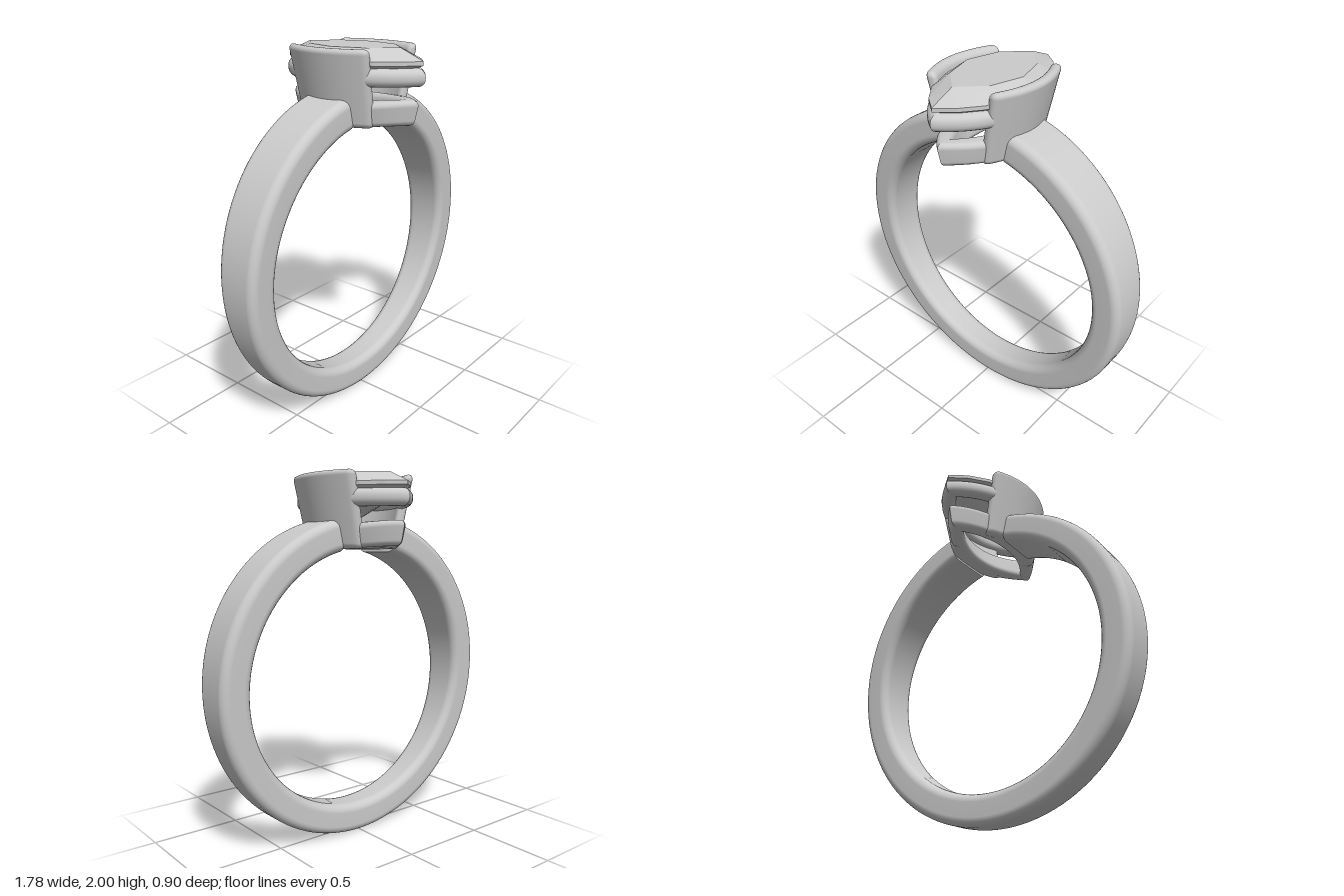
import * as THREE from 'three';
import { ConvexGeometry } from 'three/addons/geometries/ConvexGeometry.js';

// Rounded rectangle as a closed loop of [u, v] points.
function section(hw, hh, r, steps = 6) {
  const pts = [];
  [[1, 1], [-1, 1], [-1, -1], [1, -1]].forEach(([sx, sy], q) => {
    for (let i = 0; i <= steps; i++) {
      const a = (q + i / steps) * Math.PI / 2;
      pts.push([sx * (hw - r) + r * Math.cos(a), sy * (hh - r) + r * Math.sin(a)]);
    }
  });
  return pts;
}

// Skin a list of closed loops, cap both ends and face everything outwards.
function loft(loops) {
  const m = loops[0].length, n = loops.length;
  const pts = loops.flat(), idx = [];
  for (let i = 0; i < n - 1; i++) {
    for (let j = 0; j < m; j++) {
      const a = i * m + j, b = i * m + (j + 1) % m;
      idx.push(a, b, b + m, a, b + m, a + m);
    }
  }
  const first = pts.length, last = first + m;
  pts.push(...loops[0], ...loops[n - 1]);
  for (let j = 1; j < m - 1; j++) {
    idx.push(first, first + j + 1, first + j, last, last + j, last + j + 1);
  }
  let volume = 0;
  const cross = new THREE.Vector3();
  for (let i = 0; i < idx.length; i += 3) {
    volume += cross.crossVectors(pts[idx[i]], pts[idx[i + 1]]).dot(pts[idx[i + 2]]);
  }
  if (volume < 0) idx.reverse();
  const geo = new THREE.BufferGeometry().setFromPoints(pts);
  geo.setIndex(idx);
  geo.computeVertexNormals();
  return geo;
}

// x of a pointed-oval outline with half length L and half width s, at z = L * t.
function lensX(L, s, t) {
  const R = (L * L + s * s) / (2 * s);
  return Math.sqrt(R * R - L * L * t * t) - (R - s);
}

export function createModel() {
  const model = new THREE.Group();
  const metal = new THREE.MeshStandardMaterial({ color: 0xcccccc });
  const facet = new THREE.MeshStandardMaterial({ color: 0xcccccc, flatShading: true });
  const add = (name, geo, mat = metal) => {
    const mesh = new THREE.Mesh(geo, mat);
    mesh.name = name;
    model.add(mesh);
  };

  // Band: open at the top, widening from the bottom to the setting
  const cy = 0.89, gap = 0.24, bandLoops = [];
  for (let i = 0; i <= 120; i++) {
    const a = gap + (2 * Math.PI - 2 * gap) * i / 120;
    const halfWidth = 0.12 + 0.03 * Math.cos(a);
    bandLoops.push(section(0.084, halfWidth, 0.045).map(([u, v]) => {
      const r = 0.806 + u;
      return new THREE.Vector3(r * Math.sin(a), cy + r * Math.cos(a), v);
    }));
  }
  add('band', loft(bandLoops));

  // Curved, leaning walls holding the stone on both sides
  for (const side of [1, -1]) {
    const loops = [], Z = 0.25, round = 0.025;
    for (let i = 0; i <= 32; i++) {
      const z = Z * Math.sin((i / 32 - 0.5) * Math.PI);
      const q = Math.max(0, (Math.abs(z) - Z + round) / round);
      const inset = round * 0.9 * (1 - Math.sqrt(Math.max(0, 1 - q * q)));
      const tilt = Math.atan(2.1 * z);
      loops.push(section(0.031 - inset, 0.197 - inset, 0.028 - inset).map(([u, v]) => {
        const y = 1.803 + v, drop = 2 - y;
        const x = 0.26 - 1.1 * z * z - 0.21 * drop + u * Math.cos(tilt);
        const zz = (z + u * Math.sin(tilt) * 0.6) * (1 - 0.25 * drop);
        return new THREE.Vector3(side * x, y, zz);
      }));
    }
    add(side > 0 ? 'leftWall' : 'rightWall', loft(loops));
  }

  // Pointed-oval rails, each made of two mirrored halves that meet at the tips
  function rail(name, { L, s, thick, y0, y1, r, sag, taper }) {
    for (const side of [1, -1]) {
      const loops = [];
      for (let i = 0; i <= 40; i++) {
        const t = i / 20 - 1;
        loops.push(section(thick / 2, (y1 - y0) / 2, r).map(([u, v]) => {
          const y = (y0 + y1) / 2 + v;
          const d = thick / 2 - u + taper * (y1 - y);
          const l = L - 1.2 * d;
          const x = lensX(l, s - d, t);
          return new THREE.Vector3(side * x, y - sag * x * x, l * t);
        }));
      }
      add(name + (side > 0 ? 'Left' : 'Right'), loft(loops));
    }
  }
  rail('upperRail', { L: 0.452, s: 0.25, thick: 0.085, y0: 1.818, y1: 1.908, r: 0.04, sag: 0, taper: 0 });
  rail('lowerRail', { L: 0.422, s: 0.205, thick: 0.09, y0: 1.62, y1: 1.75, r: 0.03, sag: 0.7, taper: 0.2 });

  // Faceted stone: table, thin girdle and pointed pavilion
  const stone = [new THREE.Vector3(0, 1.745, 0)];
  const outline = (L, s, y, n) => {
    for (let i = 0; i <= n; i++) {
      const t = Math.sin((i / n - 0.5) * Math.PI) * 0.5 + (i / n - 0.5);
      const x = Math.max(0, lensX(L, s, t));
      stone.push(new THREE.Vector3(x, y, L * t));
      if (i > 0 && i < n) stone.push(new THREE.Vector3(-x, y, L * t));
    }
  };
  outline(0.30, 0.175, 1.998, 4);
  outline(0.437, 0.24, 1.942, 8);
  outline(0.437, 0.24, 1.922, 8);
  add('stone', new ConvexGeometry(stone), facet);

  return model;
}
